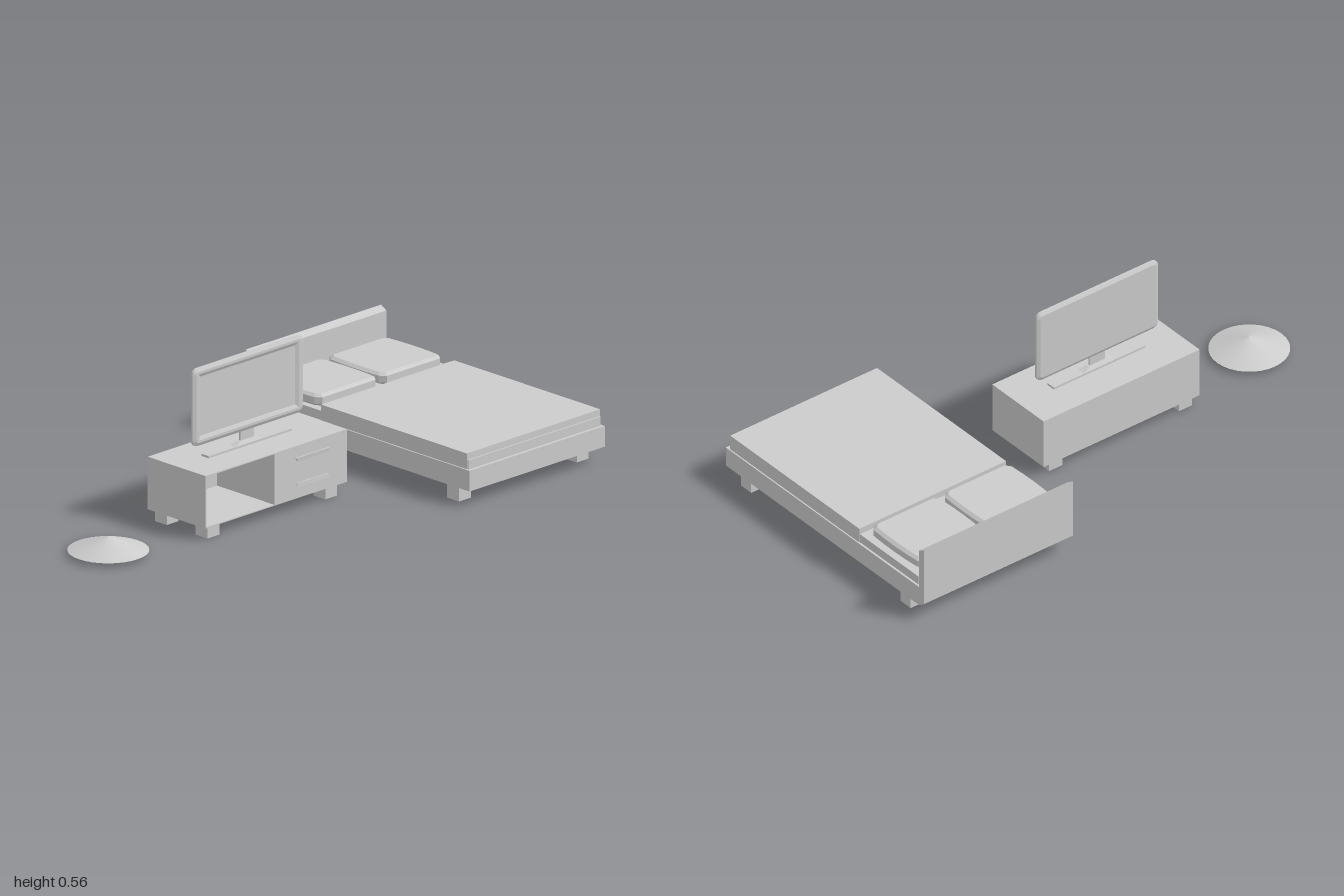
import * as THREE from 'three';

const mat = new THREE.MeshStandardMaterial({ color: 0xcccccc, flatShading: true });
const smooth = new THREE.MeshStandardMaterial({ color: 0xcccccc, side: THREE.DoubleSide });

function add(parent, name, geo, material = mat) {
  const mesh = new THREE.Mesh(geo, material);
  mesh.name = name;
  parent.add(mesh);
  return mesh;
}

// Box given by its minimum and maximum on each axis
function box(parent, name, x0, x1, y0, y1, z0, z1) {
  const geo = new THREE.BoxGeometry(x1 - x0, y1 - y0, z1 - z0);
  geo.translate((x0 + x1) / 2, (y0 + y1) / 2, (z0 + z1) / 2);
  return add(parent, name, geo);
}

// Box whose top shrinks towards its centre
function taperedBox(w, h, d, sx, sz) {
  const geo = new THREE.BoxGeometry(w, h, d);
  const p = geo.attributes.position;
  for (let i = 0; i < p.count; i++) {
    if (p.getY(i) > 0) p.setXYZ(i, p.getX(i) * sx, p.getY(i), p.getZ(i) * sz);
  }
  return geo;
}

// Rectangle with rounded corners, centred on the origin
function roundedRect(w, h, r) {
  const s = new THREE.Shape();
  const x = w / 2, y = h / 2;
  s.absarc(x - r, y - r, r, 0, Math.PI / 2);
  s.absarc(-x + r, y - r, r, Math.PI / 2, Math.PI);
  s.absarc(-x + r, -y + r, r, Math.PI, Math.PI * 1.5);
  s.absarc(x - r, -y + r, r, Math.PI * 1.5, Math.PI * 2);
  return s;
}

function legs(parent, xs, zs, size, height) {
  for (const x of xs) for (const z of zs) box(parent, 'leg', x, x + size, 0, height, z, z + size);
}

function createBed() {
  const bed = new THREE.Group();
  bed.name = 'bed';
  // Frame and headboard share one side profile (z, y)
  const profile = new THREE.Shape([
    [0.54, 0.055], [0.54, 0.13], [-0.515, 0.13], [-0.515, 0.282],
    [-0.54, 0.297], [-0.54, 0.072], [-0.515, 0.055],
  ].map(([z, y]) => new THREE.Vector2(z, y)));
  const frame = new THREE.ExtrudeGeometry(profile, { depth: 0.65, bevelEnabled: false });
  frame.rotateY(-Math.PI / 2).translate(1, 0, 0);
  add(bed, 'frameAndHeadboard', frame);

  box(bed, 'mattress', 0.358, 0.992, 0.13, 0.163, -0.502, 0.528);
  box(bed, 'blanket', 0.355, 0.995, 0.13, 0.187, -0.182, 0.522);

  // Pillows with bevelled edges and gently bulging sides
  for (const x of [0.515, 0.825]) {
    const w = 0.134, d = 0.127;
    const s = new THREE.Shape();
    s.moveTo(-w + 0.012, -d);
    s.lineTo(w - 0.012, -d);
    s.lineTo(w, -d + 0.015);
    s.quadraticCurveTo(w + 0.008, 0, w - 0.002, d - 0.015);
    s.lineTo(w - 0.014, d);
    s.lineTo(-w + 0.014, d);
    s.lineTo(-w + 0.002, d - 0.015);
    s.quadraticCurveTo(-w - 0.008, 0, -w, -d + 0.015);
    const geo = new THREE.ExtrudeGeometry(s, {
      depth: 0.024, bevelThickness: 0.009, bevelSize: 0.012, bevelSegments: 1, curveSegments: 4,
    });
    geo.rotateX(-Math.PI / 2).translate(x, 0.174, -0.347);
    add(bed, 'pillow', geo);
  }
  legs(bed, [0.362, 0.928], [0.42, -0.45], 0.057, 0.055);
  return bed;
}

function createCabinet() {
  const cabinet = new THREE.Group();
  cabinet.name = 'cabinet';
  const t = 0.004, x0 = -0.53, x1 = 0.15, y0 = 0.043, y1 = 0.233, z0 = -0.13, z1 = 0.15;
  box(cabinet, 'top', x0, x1, y1 - t, y1, z0, z1);
  box(cabinet, 'bottom', x0, x1, y0, y0 + t, z0, z1);
  box(cabinet, 'back', x0, x1, y0 + t, y1 - t, z0, z0 + t);
  box(cabinet, 'side', x0, x0 + t, y0 + t, y1 - t, z0 + t, z1);
  // Closed drawer half beside the open compartment
  box(cabinet, 'drawers', -0.2, x1, y0 + t, y1 - t, z0 + t, z1);

  // Drawer pulls, narrowing towards the middle of the front
  for (const [y, dir] of [[0.184, -1], [0.092, 1]]) {
    const geo = taperedBox(0.165, 0.014, 0.008, 0.86, 0.7);
    if (dir < 0) geo.rotateZ(Math.PI);
    geo.translate(-0.018, y, z1 + 0.002);
    add(cabinet, 'drawerPull', geo);
  }
  legs(cabinet, [-0.511, 0.055], [0.083, -0.113], 0.057, y0);
  return cabinet;
}

function createTelevision() {
  const tv = new THREE.Group();
  tv.name = 'television';
  const cx = -0.195, cy = 0.425, cz = 0.013;

  // Bevelled bezel around the sunken screen
  const bezel = roundedRect(0.506, 0.256, 0.012);
  const hole = new THREE.Path();
  hole.moveTo(-0.24, -0.119);
  hole.lineTo(-0.24, 0.119);
  hole.lineTo(0.24, 0.119);
  hole.lineTo(0.24, -0.119);
  hole.closePath();
  bezel.holes.push(hole);
  const bezelGeo = new THREE.ExtrudeGeometry(bezel, {
    depth: 0.008, bevelThickness: 0.006, bevelSize: 0.012, bevelSegments: 1, curveSegments: 3,
  });
  bezelGeo.translate(cx, cy, cz - 0.004);
  add(tv, 'bezel', bezelGeo);
  box(tv, 'screen', cx - 0.243, cx + 0.243, cy - 0.122, cy + 0.122, 0.003, 0.015);

  // Stand: flat foot, tapered collar and slim neck
  box(tv, 'foot', -0.395, 0.005, 0.233, 0.241, -0.005, 0.029);
  add(tv, 'collar', taperedBox(0.14, 0.012, 0.034, 0.55, 0.5).translate(cx, 0.246, 0.012));
  box(tv, 'neck', -0.228, -0.162, 0.25, 0.295, 0.009, 0.015);
  return tv;
}

export function createModel() {
  const model = new THREE.Group();
  model.name = 'bedroomSet';
  model.add(createBed(), createCabinet(), createTelevision());

  // Shallow round cone with a closed underside
  const cone = new THREE.ConeGeometry(0.14, 0.05, 32);
  cone.translate(-0.86, 0.04, 0.012);
  add(model, 'shallowCone', cone, smooth);
  return model;
}
